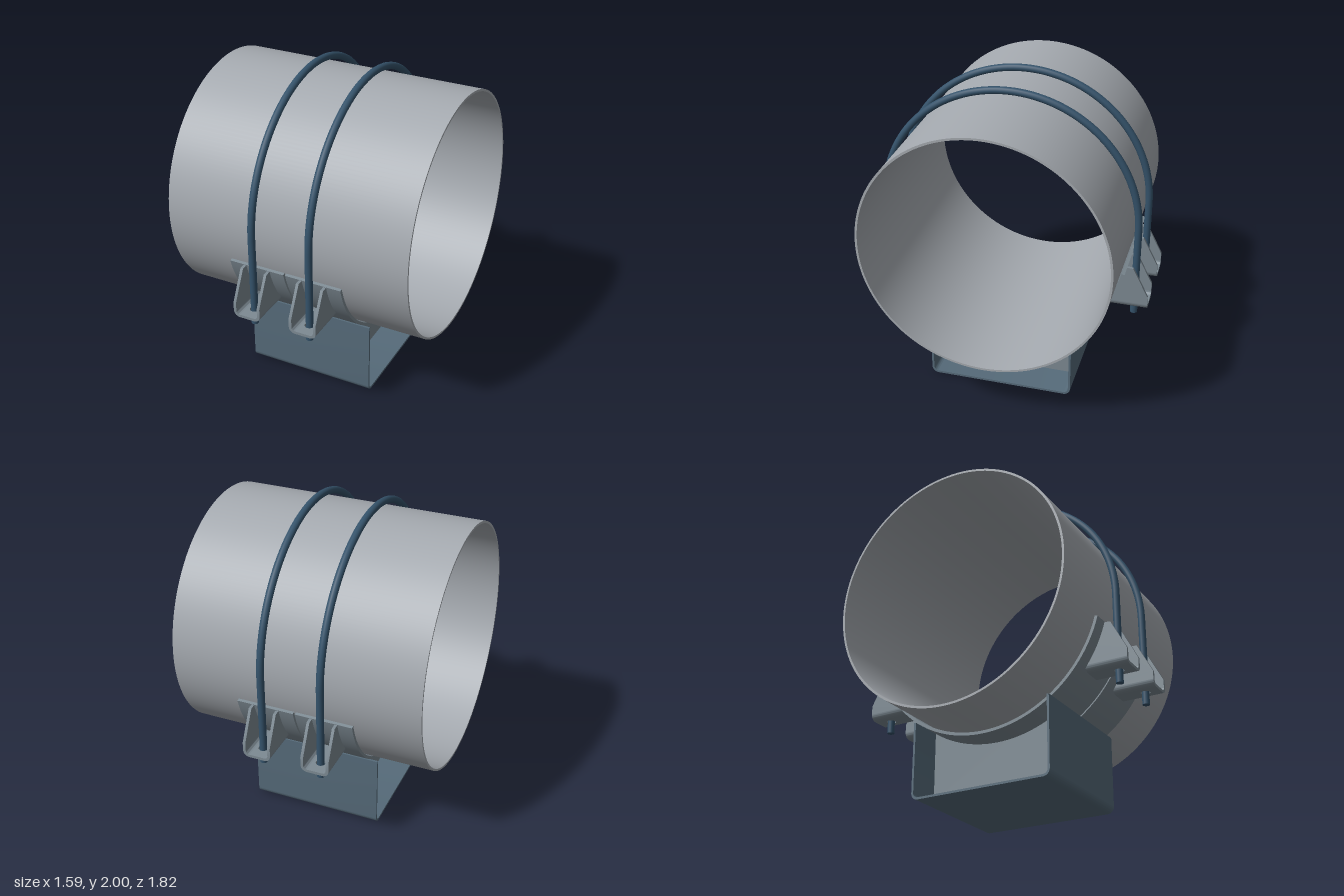
import * as THREE from 'three';
import { toCreasedNormals } from 'three/addons/utils/BufferGeometryUtils.js';

const CY = 1.16;          // height of the pipe axis
const BOLT_R = 0.817;     // bend radius of the U-bolts
const STATIONS = [-0.19, 0.19];

const paint = (color) => new THREE.MeshStandardMaterial({ color });

function addMesh(parent, name, geometry, material) {
  const mesh = new THREE.Mesh(geometry, material);
  mesh.name = name;
  parent.add(mesh);
  return mesh;
}

function extrude(shape, depth, curveSegments = 24) {
  return toCreasedNormals(
    new THREE.ExtrudeGeometry(shape, { depth, bevelEnabled: false, curveSegments }), 0.6);
}

// Extrudes a (z, y) profile along x, centred on x = 0
function extrudeX(shape, width, curveSegments) {
  return extrude(shape, width, curveSegments).translate(0, 0, -width / 2).rotateY(-Math.PI / 2);
}

function ringSector(cx, cy, inner, outer, from, to) {
  const s = new THREE.Shape();
  s.absarc(cx, cy, outer, from, to, false);
  s.absarc(cx, cy, inner, to, from, true);
  s.closePath();
  return s;
}

function polygon(points) {
  return new THREE.Shape(points.map(([x, y]) => new THREE.Vector2(x, y)));
}

// U-shaped lug with a drilled floor, on the +z side
function makeLug(material) {
  const lug = new THREE.Group();
  lug.name = 'lug';
  const half = 0.09, t = 0.018, r = 0.04, bottom = 0.65, zIn = 0.64, zOut = 0.91;

  const cheek = new THREE.Shape();
  cheek.moveTo(zIn, bottom + r);
  cheek.lineTo(zOut, bottom + r);
  cheek.lineTo(zOut, 0.745);
  cheek.lineTo(0.812, 0.935);
  cheek.absarc(0, CY, 0.8, -0.28, -0.628, true);
  cheek.closePath();

  for (const s of [-1, 1]) {
    addMesh(lug, 'lugCheek', extrudeX(cheek, t), material).position.x = s * (half - t / 2);
    const from = s > 0 ? -Math.PI / 2 : Math.PI;
    const bend = ringSector(s * (half - r), bottom + r, r - t, r, from, from + Math.PI / 2);
    addMesh(lug, 'lugBend', extrude(bend, zOut - zIn, 8), material).position.z = zIn;
  }

  const w = half - r;
  const floor = polygon([[-w, zIn], [w, zIn], [w, zOut], [-w, zOut]]);
  const hole = new THREE.Path();
  hole.absarc(0, BOLT_R, 0.03, 0, Math.PI * 2, true);
  floor.holes.push(hole);
  addMesh(lug, 'lugFloor', extrude(floor, t).rotateX(Math.PI / 2), material).position.y = bottom + t;
  return lug;
}

export function createModel() {
  const model = new THREE.Group();
  model.name = 'pipeSupport';
  const pipeGrey = paint(0xa5aab0), plateGrey = paint(0x7d8a93);
  const channelBlue = paint(0x566b7a), boltBlue = paint(0x34526a);

  // Hollow pipe
  const wall = new THREE.Shape().absarc(0, CY, 0.78, 0, Math.PI * 2, false);
  wall.holes.push(new THREE.Path().absarc(0, CY, 0.766, 0, Math.PI * 2, true));
  addMesh(model, 'pipe', extrudeX(wall, 1.59, 96), pipeGrey);

  // Base channel, open at the top and at both ends
  const W = 0.47, H = 0.495, R = 0.045, t = 0.014, ri = R - t;
  const channel = new THREE.Shape();
  channel.moveTo(-W, H);
  channel.lineTo(-W, R);
  channel.absarc(-W + R, R, R, Math.PI, Math.PI * 1.5, false);
  channel.absarc(W - R, R, R, Math.PI * 1.5, Math.PI * 2, false);
  channel.lineTo(W, H);
  channel.lineTo(W - t, H);
  channel.absarc(W - R, R, ri, 0, -Math.PI / 2, true);
  channel.absarc(-W + R, R, ri, -Math.PI / 2, -Math.PI, true);
  channel.lineTo(-W + t, H);
  channel.closePath();
  addMesh(model, 'baseChannel', extrudeX(channel, 0.84, 10), channelBlue);

  // Web plate with chamfered lower corners and a curved seat
  const zw = W - t, c = 0.04, seat = 0.805;
  const a = Math.acos(zw / seat);
  const web = new THREE.Shape();
  web.moveTo(-zw, t + c);
  web.lineTo(-zw + c, t);
  web.lineTo(zw - c, t);
  web.lineTo(zw, t + c);
  web.absarc(0, CY, seat, -a, -Math.PI + a, true);
  web.closePath();

  // Curved saddle strap
  const saddle = ringSector(0, CY, 0.787, 0.806, Math.PI + 0.275, Math.PI * 2 - 0.275);

  for (const x of STATIONS) {
    const clamp = new THREE.Group();
    clamp.name = 'clamp';
    clamp.position.x = x;
    model.add(clamp);
    addMesh(clamp, 'web', extrudeX(web, 0.02, 48), plateGrey);
    addMesh(clamp, 'saddle', extrudeX(saddle, 0.368, 64), plateGrey);

    // U-bolt: half ring and two straight legs
    const arch = new THREE.TorusGeometry(BOLT_R, 0.023, 16, 72, Math.PI).rotateY(Math.PI / 2);
    addMesh(clamp, 'boltArch', arch, boltBlue).position.y = CY;
    for (const side of [1, -1]) {
      const leg = new THREE.CylinderGeometry(0.023, 0.023, CY - 0.57, 16);
      addMesh(clamp, 'boltLeg', leg, boltBlue).position.set(0, (CY + 0.57) / 2, side * BOLT_R);
      const lug = makeLug(plateGrey);
      lug.rotation.y = side > 0 ? 0 : Math.PI;
      clamp.add(lug);
    }
  }
  return model;
}
